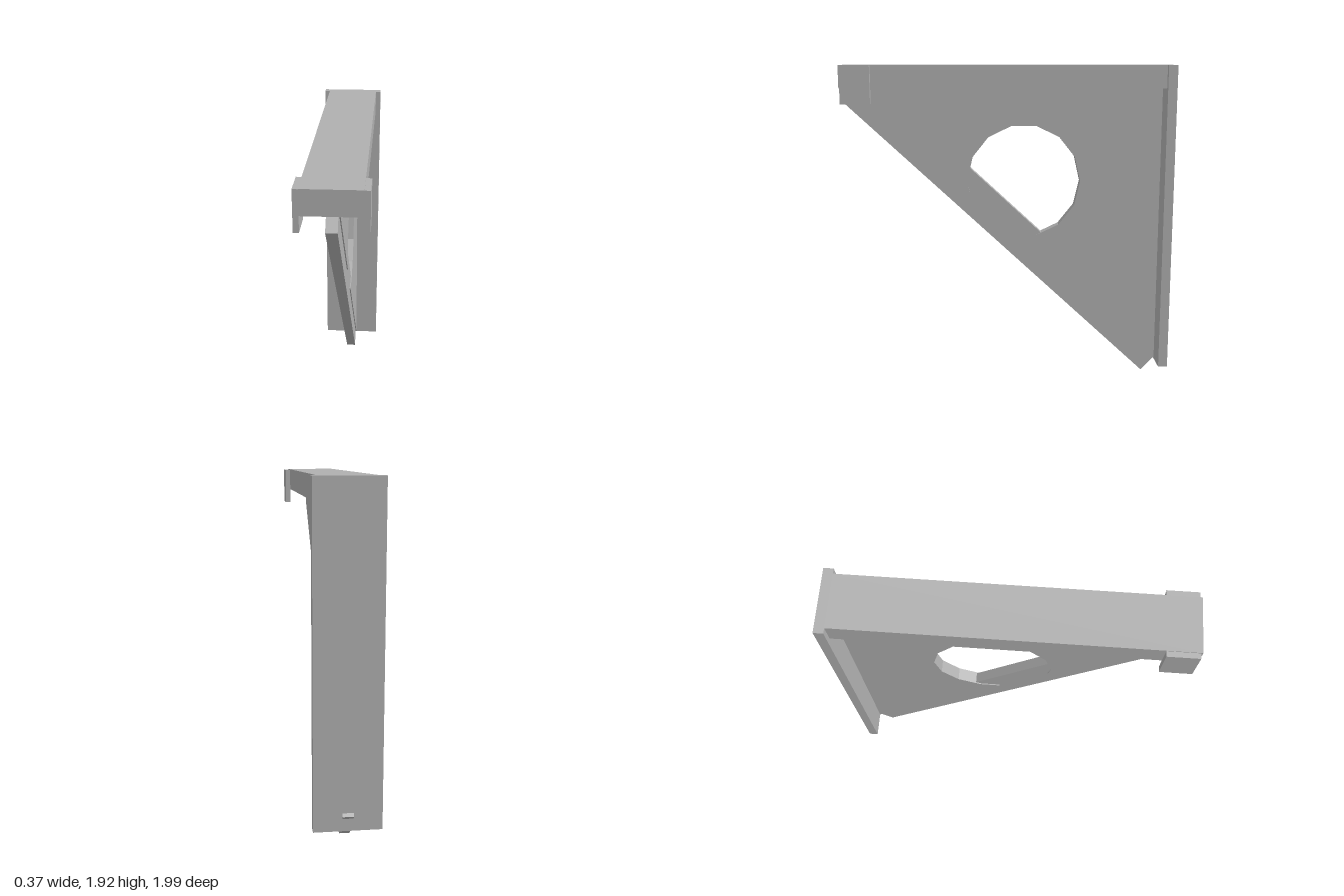
import * as THREE from 'three';

const grey = new THREE.MeshStandardMaterial({ color: 0xb0b0b0 });
grey.name = 'grey';

// Box given by its lower and upper corners
function box(name, [x0, y0, z0], [x1, y1, z1]) {
  const mesh = new THREE.Mesh(new THREE.BoxGeometry(x1 - x0, y1 - y0, z1 - z0), grey);
  mesh.position.set((x0 + x1) / 2, (y0 + y1) / 2, (z0 + z1) / 2);
  mesh.name = name;
  return mesh;
}

// Upright plate from a (z, y) outline, centred on x = 0
function plate(name, points, thickness) {
  const shape = new THREE.Shape(points);
  const geometry = new THREE.ExtrudeGeometry(shape, { depth: thickness, bevelEnabled: false });
  geometry.translate(0, 0, -thickness / 2);
  geometry.rotateY(-Math.PI / 2);
  const mesh = new THREE.Mesh(geometry, grey);
  mesh.name = name;
  return mesh;
}

export function createModel() {
  const group = new THREE.Group();
  group.name = 'shelfBracket';
  const v = (z, y) => new THREE.Vector2(z, y);

  // Wall plate and top beam
  group.add(box('wallPlate', [-0.185, 0.08, -0.98], [0.185, 1.925, -0.925]));
  group.add(box('topBeam', [-0.155, 1.79, -0.925], [0.155, 1.925, 0.995]));

  // Cheeks on both sides of the beam's front end
  for (const side of [-1, 1]) {
    const x = side * 0.17;
    group.add(box(side > 0 ? 'leftCheek' : 'rightCheek',
      [x - 0.015, 1.70, 0.81], [x + 0.015, 1.92, 0.985]));
  }

  // Diagonal brace: a rectangle along the sloping edge
  const low = v(-0.845, 0.003), high = v(0.995, 1.706);
  const along = high.clone().sub(low).normalize();
  const inward = v(-along.y, along.x);
  const width = 0.222;
  group.add(plate('diagonalBrace', [low, high,
    high.clone().addScaledVector(inward, width),
    low.clone().addScaledVector(inward, width)], 0.06));

  // Triangular web, its sloping edge broken by the fourteen-sided hole
  const start = v(-0.925, 0.08);
  const end = start.clone().addScaledVector(along, (1.79 - start.y) / along.y);
  const hole = (k) => {
    const a = (k * Math.PI) / 7;
    return v(-0.09 + 0.345 * Math.cos(a), 1.225 + 0.345 * Math.sin(a));
  };
  const inside = (p) => p.clone().sub(start).dot(inward);
  const crossing = (p, q) => p.clone().lerp(q, inside(p) / (inside(p) - inside(q)));
  const outline = [start];
  for (let k = 14; k > 0; k--) {
    const p = hole(k - 14 + 11), q = hole(k - 14 + 10);
    if (inside(p) < 0 !== inside(q) < 0) outline.push(crossing(p, q));
    if (inside(q) > 0) outline.push(q);
  }
  outline.push(end, v(-0.925, 1.79));
  group.add(plate('web', outline, 0.072));

  return group;
}
